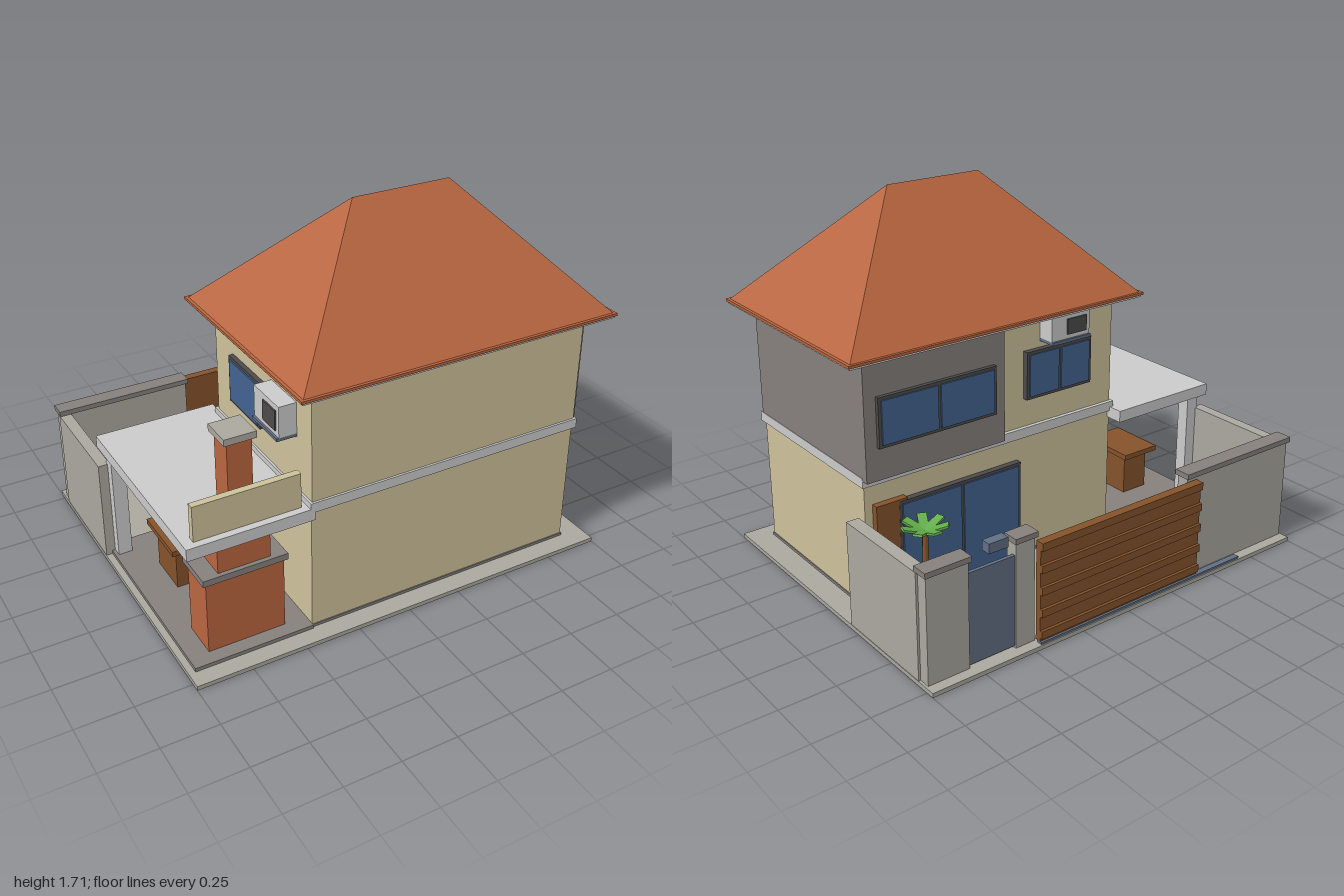
import * as THREE from 'three';

const COLORS = {
  cream: 0xcdc19b, lightGrey: 0xcacaca, concrete: 0xaaa79e, cladding: 0x85807c, terracotta: 0xb8653f,
  wood: 0x84522a, glass: 0x42638f, slate: 0x616e83, green: 0x62ad4a, darkFrame: 0x4c4a4a,
};

export function createModel() {
  const root = new THREE.Group();
  root.name = 'house';
  const mats = {};
  for (const [name, color] of Object.entries(COLORS)) {
    mats[name] = new THREE.MeshStandardMaterial({ color });
    mats[name].name = name;
  }

  // Box given by its minimum and maximum on each axis
  function box(name, mat, x0, x1, y0, y1, z0, z1, parent = root) {
    const m = new THREE.Mesh(new THREE.BoxGeometry(x1 - x0, y1 - y0, z1 - z0), mats[mat]);
    m.position.set((x0 + x1) / 2, (y0 + y1) / 2, (z0 + z1) / 2);
    m.name = name;
    parent.add(m);
    return m;
  }

  // Framed window in the xy plane facing -z, its back at the local origin plane
  function framedWindow(name, w, h, panes) {
    const g = new THREE.Group();
    g.name = name;
    box('windowFrame', 'darkFrame', -w / 2, w / 2, 0, h, -0.018, 0.01, g);
    const t = 0.014, pw = (w - t) / panes;
    for (let i = 0; i < panes; i++) {
      const x = -w / 2 + t + i * pw;
      box('windowPane', 'glass', x, x + pw - t, t, h - t, -0.024, -0.016, g);
    }
    root.add(g);
    return g;
  }

  // Air conditioner facing -z, its back at the local origin plane
  function airConditioner(w, h) {
    const g = new THREE.Group();
    g.name = 'airConditioner';
    box('airConditionerCase', 'lightGrey', -w / 2, w / 2, 0, h, -0.08, 0, g);
    box('airConditionerFan', 'darkFrame', -w * 0.4, w * 0.1, h * 0.18, h * 0.82, -0.087, -0.079, g);
    box('airConditionerShelf', 'slate', -w / 2, w / 2, -0.014, 0, -0.09, 0, g);
    root.add(g);
    return g;
  }

  // Ground
  box('baseSlab', 'concrete', -1, 1, 0, 0.02, -0.79, 0.79);
  box('carportFloor', 'cladding', -0.97, -0.43, 0.02, 0.037, -0.24, 0.71);
  box('houseFooting', 'cladding', -0.432, 0.892, 0.02, 0.032, -0.155, 0.702);
  box('lawn', 'green', 0.585, 0.93, 0.02, 0.038, -0.62, -0.27);

  // House body
  box('lowerWalls', 'cream', -0.43, 0.887, 0.03, 0.605, -0.15, 0.697);
  box('floorBand', 'lightGrey', -0.44, 0.902, 0.603, 0.648, -0.168, 0.71);
  box('upperWalls', 'cream', -0.43, 0.89, 0.645, 1.158, -0.15, 0.7);
  box('upperCladding', 'cladding', 0.21, 0.9, 0.635, 1.157, -0.2, 0.694);

  // Hipped roof
  box('eaveSoffit', 'lightGrey', -0.515, 0.98, 1.155, 1.166, -0.247, 0.785);
  box('eaveEdge', 'terracotta', -0.523, 0.988, 1.165, 1.177, -0.255, 0.792);
  const A = [-0.51, 1.176, 0.78], B = [0.975, 1.176, 0.78], C = [0.975, 1.176, -0.243], D = [-0.51, 1.176, -0.243];
  const R0 = [0, 1.705, 0.268], R1 = [0.465, 1.705, 0.268];
  const tris = [A, B, R1, A, R1, R0, B, C, R1, C, D, R0, C, R0, R1, D, A, R0];
  const roofGeo = new THREE.BufferGeometry();
  roofGeo.setAttribute('position', new THREE.Float32BufferAttribute(tris.flat(), 3));
  roofGeo.computeVertexNormals();
  const roof = new THREE.Mesh(roofGeo, mats.terracotta);
  roof.name = 'hippedRoof';
  root.add(roof);

  // Windows and doors
  framedWindow('largeUpperWindow', 0.58, 0.22, 2).position.set(0.555, 0.78, -0.2);
  framedWindow('smallUpperWindow', 0.36, 0.22, 2).position.set(-0.11, 0.78, -0.158);
  const sideWindow = framedWindow('sideUpperWindow', 0.28, 0.22, 1);
  sideWindow.rotation.y = Math.PI / 2;
  sideWindow.position.set(-0.434, 0.78, 0.16);
  framedWindow('slidingDoor', 0.63, 0.47, 2).position.set(0.425, 0.03, -0.165);
  box('frontDoor', 'wood', 0.7, 0.85, 0.025, 0.51, -0.182, -0.15);

  // Air conditioners
  airConditioner(0.21, 0.11).position.set(-0.125, 1.042, -0.15);
  const sideUnit = airConditioner(0.21, 0.14);
  sideUnit.rotation.y = Math.PI / 2;
  sideUnit.position.set(-0.43, 0.904, 0.475);

  // Carport
  box('carportRoof', 'lightGrey', -0.98, -0.42, 0.567, 0.622, -0.238, 0.71);
  box('carportColumn', 'lightGrey', -0.955, -0.89, 0.03, 0.57, -0.205, -0.145);
  box('carportParapet', 'cream', -0.935, -0.465, 0.62, 0.782, 0.645, 0.677);

  // Barbecue with chimney
  box('barbecueBody', 'terracotta', -0.88, -0.53, 0.036, 0.375, 0.475, 0.645);
  box('barbecueOpening', 'darkFrame', -0.83, -0.58, 0.14, 0.33, 0.469, 0.477);
  box('barbecueCounter', 'cladding', -0.895, -0.515, 0.373, 0.402, 0.46, 0.655);
  box('barbecueHood', 'terracotta', -0.82, -0.585, 0.4, 0.568, 0.5, 0.635);
  box('chimney', 'terracotta', -0.755, -0.647, 0.62, 0.978, 0.51, 0.62);
  box('chimneyCap', 'concrete', -0.772, -0.632, 0.975, 1.005, 0.495, 0.635);

  // Table
  box('tableTop', 'wood', -0.85, -0.65, 0.235, 0.26, -0.04, 0.24);
  box('tableBase', 'wood', -0.82, -0.68, 0.036, 0.237, 0, 0.2);

  // Yard walls
  box('leftYardWall', 'concrete', 0.94, 0.998, 0.02, 0.495, -0.69, -0.19);
  box('rightYardWall', 'concrete', -0.998, -0.945, 0.02, 0.495, -0.69, -0.19);
  for (const [x0, x1] of [[-0.998, -0.35], [0.465, 0.577], [0.785, 0.998]]) {
    box('backYardWall', 'concrete', x0 + 0.008, x1 - 0.01, 0.02, 0.498, -0.742, -0.685);
    box('wallCap', 'cladding', x0, x1, 0.496, 0.52, -0.755, -0.678);
  }

  // Gates
  box('smallGate', 'slate', 0.565, 0.797, 0.03, 0.44, -0.736, -0.72);
  box('letterBox', 'slate', 0.635, 0.728, 0.522, 0.565, -0.785, -0.74);
  box('gateRail', 'slate', -0.67, 0.47, 0.02, 0.03, -0.785, -0.757);
  box('slidingGate', 'wood', -0.41, 0.47, 0.03, 0.48, -0.775, -0.747);
  for (let i = 0; i < 5; i++) {
    const y = 0.045 + i * 0.1;
    box('gateSlat', 'wood', -0.41, 0.47, y, y + 0.035, -0.788, -0.77);
  }

  // Palm with a rosette of raised leaves
  const palm = new THREE.Group();
  palm.name = 'palm';
  palm.position.set(0.79, 0, -0.445);
  root.add(palm);
  const trunk = new THREE.Mesh(new THREE.CylinderGeometry(0.012, 0.018, 0.46, 8), mats.wood);
  trunk.name = 'palmTrunk';
  trunk.position.y = 0.265;
  palm.add(trunk);
  for (let i = 0; i < 7; i++) {
    const pivot = new THREE.Group();
    pivot.name = 'palmLeaf';
    pivot.position.y = 0.492;
    pivot.rotation.set(0, (i / 7) * Math.PI * 2 + Math.PI / 2, 0.33);
    box('leafBlade', 'green', 0, 0.1, -0.02, 0.02, -0.005, 0.005, pivot).rotation.x = Math.PI / 2;
    palm.add(pivot);
  }
  return root;
}
